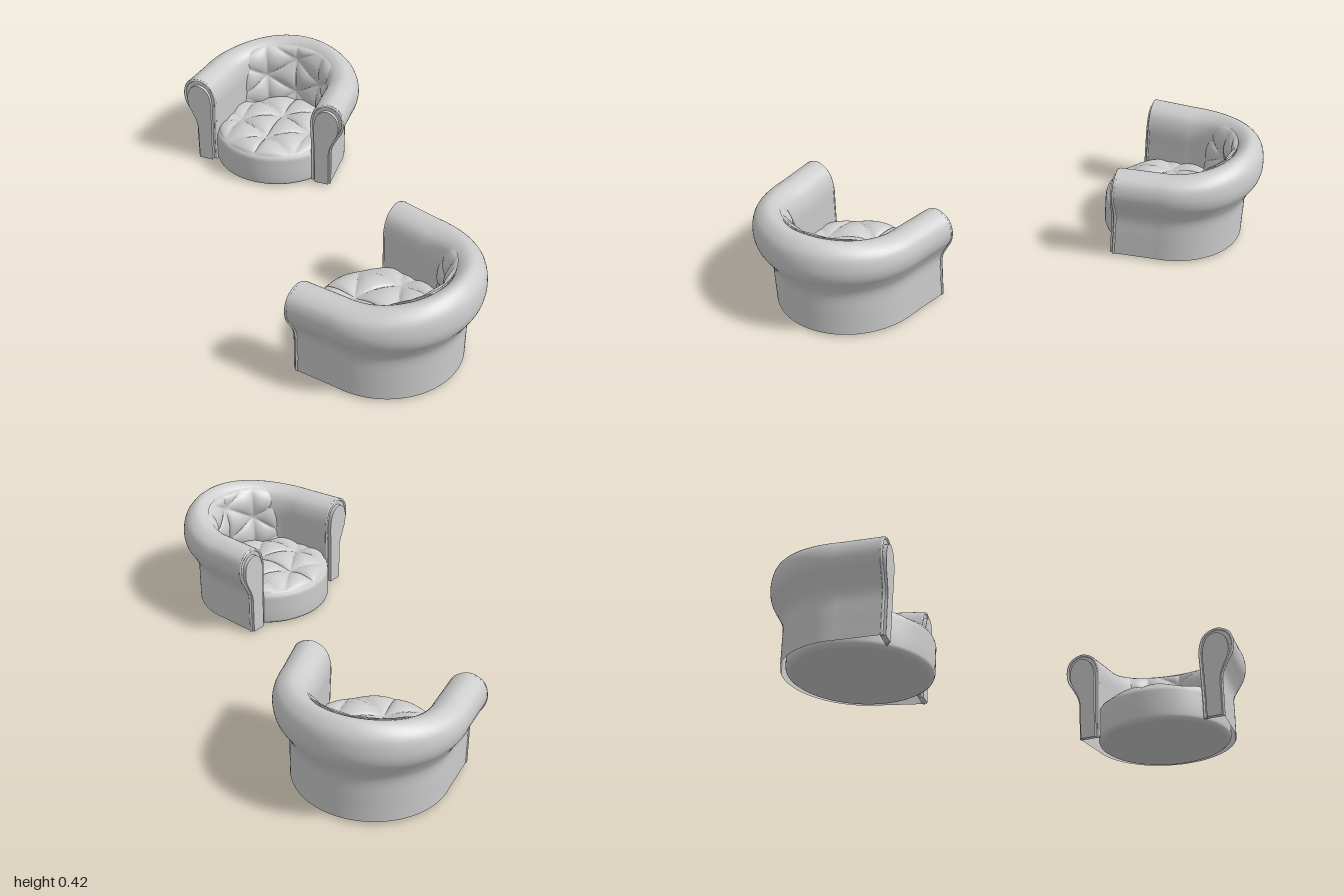
import * as THREE from 'three';

const grey = new THREE.MeshStandardMaterial({ color: 0xcccccc, side: THREE.DoubleSide });
const ARM = 0.158;    // straight arm length in front of the round back
const FLARE = 0.014;  // how far the arms open outwards at their ends

// Shell cross-section [distance from centre, height]: outer foot, roll, inner wall
const armSection = [[0.284, 0.01], [0.285, 0.1], [0.288, 0.185], [0.312, 0.235], [0.335, 0.275], [0.341, 0.32],
  [0.325, 0.362], [0.275, 0.385], [0.222, 0.362], [0.2, 0.31], [0.2, 0.22], [0.203, 0.1]];
const backSection = [[0.283, 0.01], [0.284, 0.1], [0.288, 0.185], [0.31, 0.235], [0.335, 0.28], [0.341, 0.325],
  [0.328, 0.385], [0.285, 0.42], [0.24, 0.393], [0.227, 0.33], [0.225, 0.22], [0.225, 0.1]];

const curveOf = (pts) => new THREE.CatmullRomCurve3(pts.map(([u, y]) => new THREE.Vector3(u, y, 0)));
const armCurve = curveOf(armSection);
const backCurve = curveOf(backSection);

function part(name, geometry) {
  const mesh = new THREE.Mesh(geometry, grey);
  mesh.name = name;
  return mesh;
}

// Smooth surface from a rule (u, v) -> [x, y, z]
function surface(nu, nv, rule) {
  const pos = [], index = [];
  for (let i = 0; i <= nu; i++) {
    for (let j = 0; j <= nv; j++) {
      pos.push(...rule(i / nu, j / nv));
      if (i < nu && j < nv) {
        const a = i * (nv + 1) + j, b = a + nv + 1;
        index.push(a, b, b + 1, a, b + 1, a + 1);
      }
    }
  }
  const g = new THREE.BufferGeometry();
  g.setAttribute('position', new THREE.Float32BufferAttribute(pos, 3));
  g.setIndex(index);
  g.computeVertexNormals();
  return g;
}

// Triangular tufting: 0 at the buttons, low along the seams, 1 in the pillows
function tuft(x, y, spacing) {
  let product = 1, sum = 0;
  for (let k = 0; k < 3; k++) {
    const a = k * Math.PI / 3;
    const f = Math.abs(Math.sin(Math.PI * (x * Math.cos(a) + y * Math.sin(a)) / (spacing * 0.866)));
    product *= f;
    sum += f;
  }
  return 0.6 * Math.pow(product / 0.65, 0.4) + 0.4 * sum / 2.6;
}

// Rolled wall running from one arm end round the back to the other
function shellGeometry() {
  return surface(96, 48, (u, v) => {
    const arc = Math.PI / 2, reach = 0.32;
    const s = (1 - 2 * u) * (arc + reach);
    const phi = THREE.MathUtils.clamp(s, -arc, arc);
    const t = Math.max(0, Math.abs(s) - arc) / reach;
    const k = Math.cos(phi) ** 2;
    const p = armCurve.getPoint(v).lerp(backCurve.getPoint(v), k);
    const r = p.x + FLARE * t;
    return [r * Math.sin(phi), p.y, -r * Math.cos(phi) + ARM * t];
  });
}

// Keyhole-shaped arm front with piping and a raised inner panel
function armFront(side) {
  const group = new THREE.Group();
  group.name = side > 0 ? 'leftArmFront' : 'rightArmFront';
  const outline = (sx, sy) => [...armCurve.getPoints(48), new THREE.Vector3(0.203, 0.01, 0)].map((p) =>
    new THREE.Vector2(side * (0.265 + FLARE + (p.x - 0.265) * sx), 0.01 + (p.y - 0.01) * sy));
  const plate = (sx, sy, depth) => new THREE.ExtrudeGeometry(new THREE.Shape(outline(sx, sy)),
    { depth, bevelEnabled: false });

  const cap = part('armEndPlate', plate(1, 1, 0.006));
  cap.position.z = ARM - 0.006;
  const panel = part('armEndPanel', plate(0.74, 0.93, 0.014));
  panel.position.z = ARM;

  const line = outline(0.95, 0.985).slice(0, -1).map((p) => new THREE.Vector3(p.x, p.y, ARM));
  line.push(new THREE.Vector3(side * (0.206 + FLARE), 0.014, ARM));
  const piping = part('armPiping', new THREE.TubeGeometry(new THREE.CatmullRomCurve3(line), 90, 0.005, 8));
  group.add(cap, panel, piping);
  return group;
}

function createChair(name) {
  const chair = new THREE.Group();
  chair.name = name;
  chair.add(part('rolledShell', shellGeometry()));

  // Round upholstered base
  const profile = [[0, 0], [0.246, 0], [0.25, 0.001], [0.261, 0.009], [0.265, 0.02], [0.265, 0.06], [0.265, 0.12],
    [0.262, 0.133], [0.254, 0.141], [0.24, 0.144], [0, 0.144]];
  chair.add(part('seatBase', new THREE.LatheGeometry(profile.map(([x, y]) => new THREE.Vector2(x, y)), 72)));

  // Tufted seat top
  chair.add(part('tuftedSeat', surface(144, 56, (u, v) => {
    const a = u * Math.PI * 2, r = 0.256 * (1 - v);
    const x = r * Math.sin(a), z = r * Math.cos(a);
    const edge = Math.sqrt(1 - (1 - v) ** 4);
    return [x, 0.138 + edge * (0.012 + 0.03 * tuft(x, z + 0.05, 0.18)), z];
  })));

  // Tufted back pad: leans with the wall, rounded upper corners, edges sink into the shell
  chair.add(part('tuftedBack', surface(96, 64, (u, v) => {
    const w = 2 * u - 1, phi = w * 1.17;
    const top = 0.398 - 0.05 * w ** 6 - 0.012 * w * w;
    const y = 0.13 + (top - 0.13) * v;
    const edge = Math.pow((1 - w ** 8) * (1 - v ** 10), 0.5);
    const pillow = 0.008 + 0.028 * tuft(phi * 0.21, y - 0.19, 0.15);
    const r = 0.222 + 0.016 * v * v - edge * pillow - 0.012 * (1 - v);
    return [r * Math.sin(phi), y, -r * Math.cos(phi)];
  })));

  chair.add(armFront(1), armFront(-1));
  return chair;
}

export function createModel() {
  const model = new THREE.Group();
  model.name = 'tubChairPair';
  const rear = createChair('rearChair');
  rear.position.set(0, 0, -0.659);
  rear.rotation.y = -0.656;
  const front = createChair('frontChair');
  front.position.set(0.035, 0, 0.657);
  front.rotation.y = -2.507;
  model.add(rear, front);
  return model;
}
